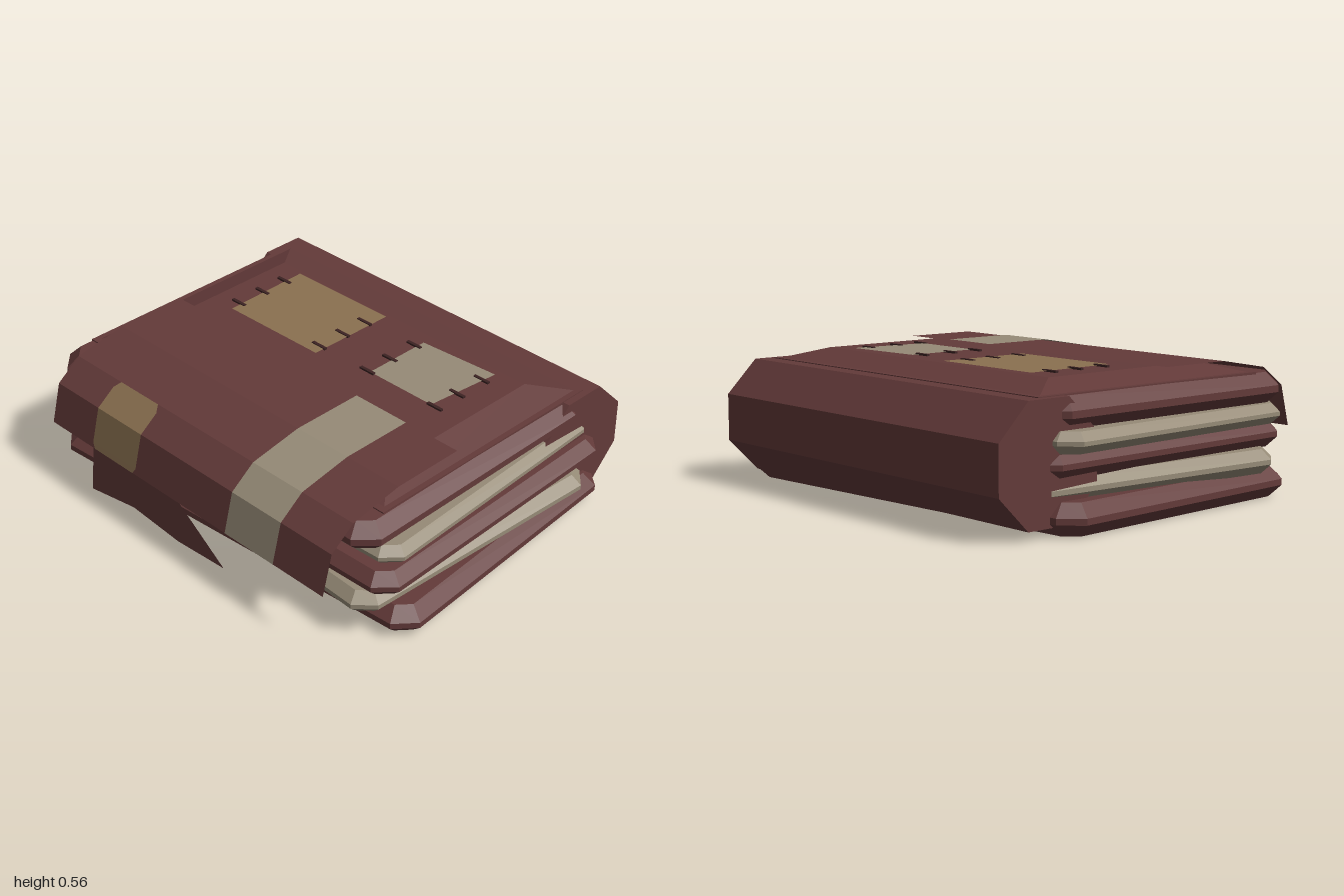
import * as THREE from 'three';

const mat = (name, color) => {
  const m = new THREE.MeshStandardMaterial({ color, flatShading: true, side: THREE.DoubleSide });
  m.name = name;
  return m;
};

export function createModel() {
  const maroon = mat('maroon cloth', 0x633a39);
  const beige = mat('beige cloth', 0x968b77);
  const tan = mat('tan patch', 0x8a7050);
  const dark = mat('dark thread', 0x3c2323);
  const group = new THREE.Group();

  const add = (name, geo, material) => {
    const mesh = new THREE.Mesh(geo, material);
    mesh.name = name;
    group.add(mesh);
    return mesh;
  };

  // Folded layer: rectangle with cut corners and chamfered rims
  const layer = (name, material, y0, y1, hx, hz, cx, cz, yaw) => {
    const b = Math.min(0.05, (y1 - y0) * 0.4), c = 0.05;
    const X = hx - b, Z = hz - b;
    const shape = new THREE.Shape([
      [X - c, -Z], [X, c - Z], [X, Z - c], [X - c, Z],
      [c - X, Z], [-X, Z - c], [-X, c - Z], [c - X, -Z],
    ].map(([x, z]) => new THREE.Vector2(x, z)));
    const geo = new THREE.ExtrudeGeometry(shape, {
      depth: y1 - y0 - 2 * b, bevelEnabled: true, bevelSegments: 1,
      bevelSize: b, bevelThickness: b,
    });
    geo.translate(0, 0, b).rotateX(-Math.PI / 2);
    const mesh = add(name, geo, material);
    mesh.position.set(cx, y0, cz);
    mesh.rotation.y = yaw;
  };
  layer('bottomLayer', maroon, 0, 0.125, 0.955, 0.65, 0, 0, 0.07);
  layer('lowerBeigeLayer', beige, 0.11, 0.207, 0.92, 0.63, 0, 0.02, -0.05);
  layer('middleLayer', maroon, 0.2, 0.308, 0.92, 0.67, 0.015, 0.01, 0.03);
  layer('upperBeigeLayer', beige, 0.3, 0.382, 0.92, 0.625, -0.03, 0.005, 0.05);
  layer('upperLayer', maroon, 0.375, 0.503, 0.89, 0.64, -0.02, 0.045, 0.01);

  // Rolled fold along the back, octagonal in section
  const roll = new THREE.CylinderGeometry(0.254, 0.254, 1.74, 8, 1);
  roll.rotateY(Math.PI / 8).rotateZ(Math.PI / 2);
  add('backRoll', roll, maroon).position.set(-0.02, 0.27, -0.595);

  // Puffed top panel: a box with its upper face drawn in
  const panel = new THREE.BoxGeometry(1.68, 0.05, 1.15);
  const p = panel.attributes.position;
  for (let i = 0; i < p.count; i++) {
    if (p.getY(i) > 0) {
      p.setX(i, p.getX(i) * 0.82);
      p.setZ(i, p.getZ(i) * 0.68);
    }
  }
  add('topPanel', panel, maroon).position.set(-0.02, 0.525, -0.045);
  add('topPanelHem', new THREE.BoxGeometry(1.68, 0.02, 1.15), maroon).position.set(-0.02, 0.498, -0.045);

  // Ribbon of cloth through rows of [z, y, x0, x1]
  const ribbon = (rows, lift = 0) => {
    const pos = [], index = [];
    rows.forEach(([z, y, x0, x1], i) => {
      pos.push(x0, y + lift, z + lift, x1, y + lift, z + lift);
      const a = 2 * i;
      if (i) index.push(a, a + 1, a - 1, a, a - 1, a - 2);
    });
    const geo = new THREE.BufferGeometry();
    geo.setAttribute('position', new THREE.Float32BufferAttribute(pos, 3));
    geo.setIndex(index);
    geo.computeVertexNormals();
    return geo;
  };

  // Draped flap over the front, with its stripe
  const drape = [[0.1, 0.554], [0.42, 0.553], [0.655, 0.512], [0.765, 0.43], [0.81, 0.26]];
  add('frontFlap', ribbon(drape.map(([z, y]) => [z, y, -0.79, 0.79])), maroon);
  add('flapStripe', ribbon(drape.map(([z, y]) => [z, y, 0.265, 0.53]), 0.004), beige);

  // Patch on the flap with softened corners
  add('flapPatch', ribbon([
    [0.655, 0.512, -0.51, -0.285], [0.682, 0.492, -0.53, -0.265], [0.765, 0.43, -0.53, -0.265],
    [0.804, 0.283, -0.53, -0.265], [0.81, 0.26, -0.515, -0.28],
  ], 0.004), tan);

  // Torn strip hanging under the flap
  const torn = new THREE.ShapeGeometry(new THREE.Shape([
    [-0.53, 0.26], [-0.53, 0.065], [-0.27, 0.105], [0, 0.085], [0.265, 0.1], [0, 0.26],
  ].map(([x, y]) => new THREE.Vector2(x, y))));
  const t = torn.attributes.position;
  for (let i = 0; i < t.count; i++) t.setZ(i, 0.81 + (0.26 - t.getY(i)) * 0.1);
  add('tornStrip', torn, maroon);

  // Sewn patches on top with stitches down both sides
  const patch = (name, material, corners, stitchXs, stitchZs) => {
    const shape = new THREE.Shape(corners.map(([x, z]) => new THREE.Vector2(x, -z)));
    add(name, new THREE.ShapeGeometry(shape).rotateX(-Math.PI / 2), material).position.y = 0.554;
    for (const x of stitchXs) for (const z of stitchZs) {
      add(name + 'Stitch', new THREE.BoxGeometry(0.075, 0.008, 0.014), dark).position.set(x, 0.554, z);
    }
  };
  patch('tanTopPatch', tan, [[-0.575, 0], [-0.075, -0.005], [-0.07, -0.415], [-0.585, -0.41]],
    [-0.59, -0.105], [-0.32, -0.19, -0.055]);
  patch('beigeTopPatch', beige, [[0.18, -0.06], [0.51, -0.06], [0.545, -0.4], [0.18, -0.375]],
    [0.165, 0.53], [-0.335, -0.19, -0.06]);

  return group;
}
